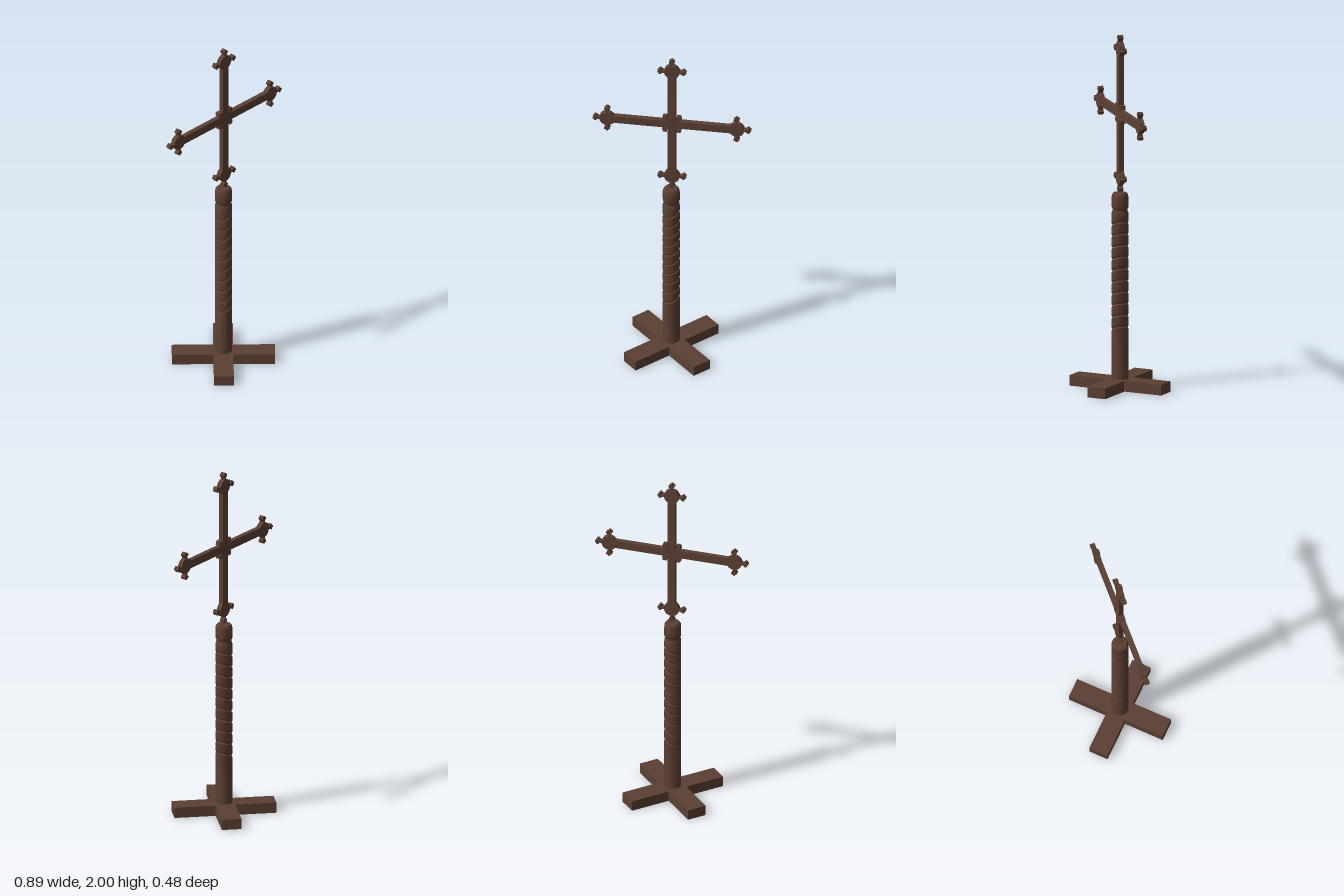
import * as THREE from 'three';
import { toCreasedNormals } from 'three/addons/utils/BufferGeometryUtils.js';

const DEPTH = 0.028; // thickness of the flat cross

export function createModel() {
  const group = new THREE.Group();
  const wood = new THREE.MeshStandardMaterial({ color: 0x5c4033 });
  wood.name = 'darkWood';
  wood.side = THREE.DoubleSide;

  const add = (name, geometry, parent = group) => {
    const mesh = new THREE.Mesh(geometry, wood);
    mesh.name = name;
    parent.add(mesh);
    return mesh;
  };

  // Foot: diagonal plus-shaped slab, hollow underneath
  const L = 0.285, w = 0.055, footHeight = 0.06;
  const outline = [];
  for (let i = 0; i < 4; i++) {
    for (const [x, y] of [[L, -w], [L, w], [w, w]]) {
      outline.push(new THREE.Vector2(x, y).rotateAround(new THREE.Vector2(), i * Math.PI / 2 + Math.PI / 4));
    }
  }
  const slab = new THREE.ExtrudeGeometry(new THREE.Shape(outline), { depth: footHeight, bevelEnabled: false });
  slab.rotateX(-Math.PI / 2);
  const p = slab.attributes.position, kept = [];
  for (let i = 0; i < p.count; i += 3) {
    // drop the underside triangles
    if (Math.max(p.getY(i), p.getY(i + 1), p.getY(i + 2)) < 0.001) continue;
    for (let j = i; j < i + 3; j++) kept.push(p.getX(j), p.getY(j), p.getZ(j));
  }
  const footGeo = new THREE.BufferGeometry();
  footGeo.setAttribute('position', new THREE.Float32BufferAttribute(kept, 3));
  footGeo.computeVertexNormals();
  add('foot', footGeo).position.x = -0.005;

  // Post: turned profile with slanted grooves and a rounded collar on top
  const R = 0.048, profile = [[R, footHeight]];
  for (let i = 0; i < 10; i++) {
    const y = 0.345 + i * 0.0655;
    profile.push([R, y - 0.009], [R - 0.005, y - 0.002], [R - 0.005, y + 0.002], [R, y + 0.009]);
  }
  profile.push([R, 0.995], [0.042, 1.01], [0.042, 1.018], [R, 1.03], [R, 1.085], [0.045, 1.1], [0.038, 1.11], [0, 1.11]);
  const post = new THREE.LatheGeometry(profile.map(([r, y]) => new THREE.Vector2(r, y)), 12);
  const q = post.attributes.position;
  for (let i = 0; i < q.count; i++) {
    const y = q.getY(i);
    if (y > 0.3 && y < 0.97) q.setY(i, y + 0.38 * q.getX(i)); // tilt the grooves
  }
  add('post', toCreasedNormals(post, 0.6)).position.x = -0.004;

  // Cross, built around its own centre
  const cross = new THREE.Group();
  cross.name = 'cross';
  cross.position.y = 1.56;
  group.add(cross);
  const reach = 0.362;
  add('uprightBar', new THREE.BoxGeometry(0.046, 2 * reach, DEPTH), cross);
  add('crossBar', new THREE.BoxGeometry(2 * reach, 0.046, DEPTH), cross);

  // Small flared finial pointing along +x
  const half = [[0.036, 0.005], [0.052, 0.006], [0.064, 0.016], [0.072, 0.015], [0.073, 0.008], [0.079, 0.005]];
  const budShape = new THREE.Shape([
    ...half.map(([x, y]) => new THREE.Vector2(x, -y)),
    new THREE.Vector2(0.081, 0),
    ...half.slice().reverse().map(([x, y]) => new THREE.Vector2(x, y)),
  ]);
  const bud = new THREE.ExtrudeGeometry(budShape, { depth: DEPTH, bevelEnabled: false });
  bud.translate(0, 0, -DEPTH / 2);
  const disc = new THREE.CylinderGeometry(0.043, 0.043, DEPTH, 16).rotateX(Math.PI / 2);

  for (let i = 0; i < 4; i++) {
    const angle = i * Math.PI / 2;
    // Disc with three finials at the end of each arm
    const end = new THREE.Group();
    end.name = 'armEnd';
    end.position.set(Math.cos(angle) * reach, Math.sin(angle) * reach, 0);
    end.rotation.z = angle;
    cross.add(end);
    add('disc', disc, end);
    for (const turn of [-1, 0, 1]) add('finial', bud, end).rotation.z = turn * Math.PI / 2;

    // Diagonal finial in each inner corner
    const corner = add('cornerFinial', bud, cross);
    const a = angle + Math.PI / 4;
    corner.rotation.z = a;
    corner.position.set(-0.01 * Math.cos(a), -0.01 * Math.sin(a), 0);
  }
  return group;
}
